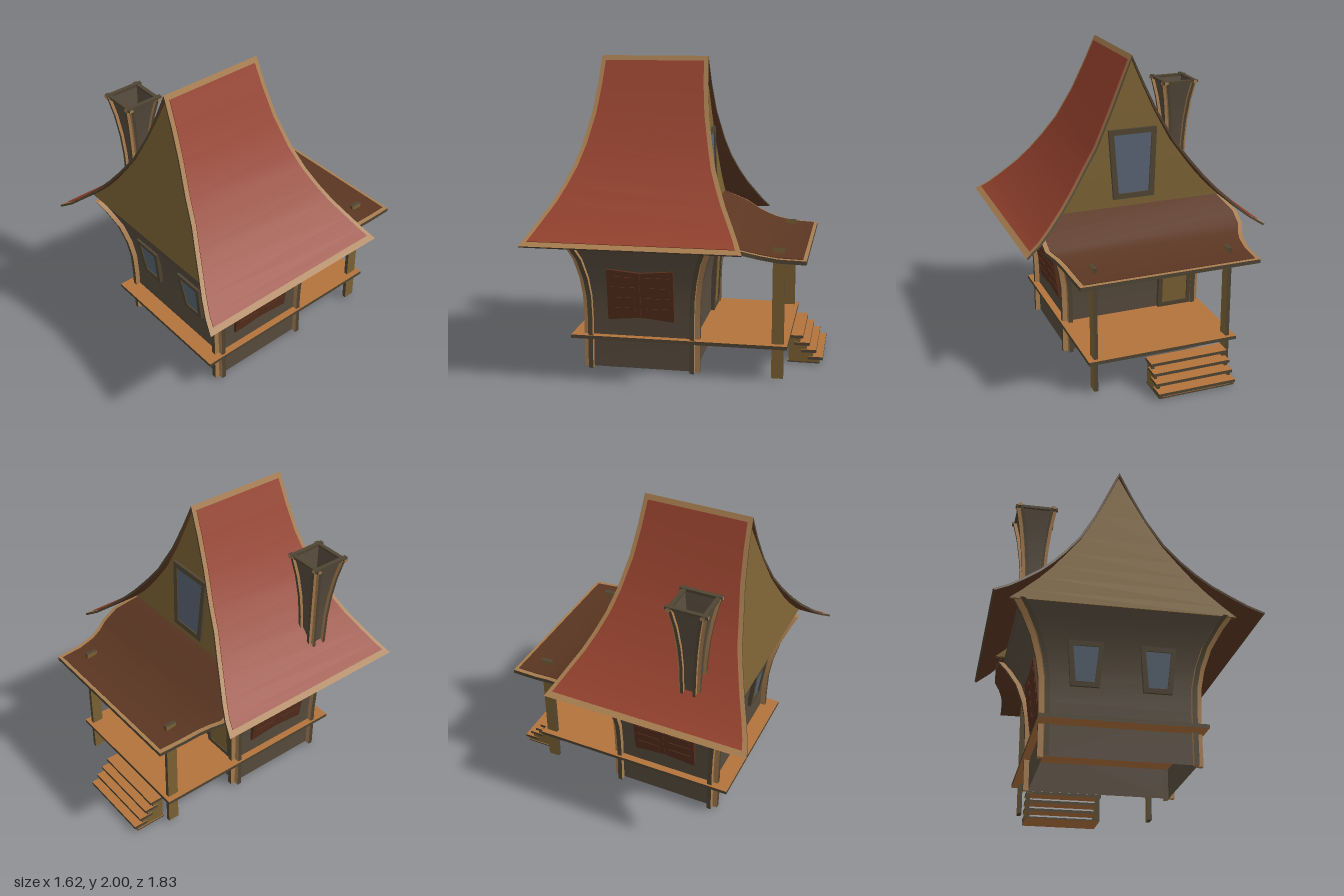
import * as THREE from 'three';

const mat = (name, color, side = THREE.FrontSide) =>
  Object.assign(new THREE.MeshStandardMaterial({ color, side }), { name });

export function createModel() {
  const wallM = mat('wall grey brown', 0x574b3d, THREE.DoubleSide);
  const trim = mat('dark timber', 0x504533);
  const tan = mat('cut timber tan', 0xa87d4f);
  const red = mat('roof red', 0x96422e);
  const brown = mat('porch roof brown', 0x5b3622);
  const olive = mat('ochre plaster', 0x7c6234);
  const orange = mat('deck orange', 0xb3733c);
  const glassM = mat('window blue grey', 0x576371);
  const shutterM = mat('shutter brown', 0x562e1c);

  const model = new THREE.Group();
  const house = new THREE.Group();
  house.name = 'house';
  house.position.z = 0.23;
  model.add(house);

  // Lofts four-cornered rings; mats: one per side, then one for the end caps (if any)
  function loft(parent, name, rings, mats) {
    const pos = [], idx = [], v = (p) => new THREE.Vector3(...p);
    const geo = new THREE.BufferGeometry();
    const [a, b, , d] = rings[0].map(v);
    const flip = b.sub(a).cross(d.sub(a)).dot(v(rings[1][0]).sub(a)) < 0;
    const tri = (i, j, k) => (flip ? idx.push(i, k, j) : idx.push(i, j, k));
    for (let s = 0; s < 4; s++) {
      const base = pos.length / 3, start = idx.length;
      rings.forEach((r) => pos.push(...r[s], ...r[(s + 1) % 4]));
      for (let i = 0; i < rings.length - 1; i++) {
        const k = base + i * 2;
        tri(k, k + 1, k + 3);
        tri(k, k + 3, k + 2);
      }
      geo.addGroup(start, idx.length - start, s);
    }
    if (mats[4]) {
      const start = idx.length;
      [rings[0], rings[rings.length - 1]].forEach((r, end) => {
        const k = pos.length / 3;
        r.forEach((p) => pos.push(...p));
        if (end) { tri(k, k + 1, k + 2); tri(k, k + 2, k + 3); }
        else { tri(k, k + 2, k + 1); tri(k, k + 3, k + 2); }
      });
      geo.addGroup(start, idx.length - start, 4);
    }
    geo.setAttribute('position', new THREE.Float32BufferAttribute(pos, 3));
    geo.setIndex(idx);
    geo.computeVertexNormals();
    const mesh = new THREE.Mesh(geo, mats);
    mesh.name = name;
    parent.add(mesh);
  }
  const all = (m) => [m, m, m, m, m];

  // Box given by its limits
  function box(parent, name, x0, x1, y0, y1, z0, z1, m) {
    const mesh = new THREE.Mesh(new THREE.BoxGeometry(x1 - x0, y1 - y0, z1 - z0), m);
    mesh.position.set((x0 + x1) / 2, (y0 + y1) / 2, (z0 + z1) / 2);
    mesh.name = name;
    parent.add(mesh);
  }

  // Flared shell with two boards on each corner; profile rows are [y, halfX, halfZ]
  function tower(parent, name, prof, w, t) {
    loft(parent, name + 'Walls', prof.map(([y, x, z]) => [[-x, y, z], [x, y, z], [x, y, -z], [-x, y, -z]]), [wallM, wallM, wallM, wallM]);
    const mats = [tan, trim, tan, trim, tan];
    for (const sx of [-1, 1]) for (const sz of [-1, 1]) {
      const ring = (pts, y) => pts.map(([x, z]) => [sx * x, y, sz * z]);
      loft(parent, name + 'CornerBoard', prof.map(([y, x, z]) =>
        ring([[x - w, z], [x - w, z + t], [x, z + t], [x, z]], y - 0.006)), mats);
      loft(parent, name + 'CornerBoard', prof.map(([y, x, z]) =>
        ring([[x, z - w], [x + t, z - w], [x + t, z], [x, z]], y - 0.006)), mats);
    }
  }

  // House walls
  tower(house, 'house', [[0.018, 0.456, 0.346], [0.35, 0.456, 0.346], [0.5, 0.461, 0.351], [0.62, 0.481, 0.366],
    [0.75, 0.521, 0.396], [0.87, 0.586, 0.446], [0.94, 0.636, 0.481]], 0.03, 0.033);

  // Main roof: rows are [x, y, half depth]
  const P = [[0, 2, 0.355], [0.08, 1.82, 0.365], [0.165, 1.635, 0.385], [0.27, 1.44, 0.425], [0.365, 1.31, 0.46],
    [0.45, 1.2, 0.505], [0.534, 1.106, 0.55], [0.64, 1.005, 0.61], [0.72, 0.937, 0.65], [0.81, 0.88, 0.685]];
  const tiles = [[0.015, 1.966, 0.356], ...P.slice(1, -1), [0.775, 0.902, 0.67]];
  for (const turn of [0, Math.PI]) {
    const half = new THREE.Group();
    half.name = 'roofHalf';
    half.rotation.y = turn;
    house.add(half);
    loft(half, 'roofBoards', P.map(([x, y, d]) => {
      const xb = Math.max(0, x - 0.01), yb = y - (x ? 0.01 : 0.025);
      return [[x, y, d], [x, y, -d], [xb, yb, -d], [xb, yb, d]];
    }), [tan, trim, brown, trim, trim]);
    loft(half, 'roofTiles', tiles.map(([x, y, d]) => {
      const e = d - 0.03, o = 0.004;
      return [[x + o, y + o, e], [x + o, y + o, -e], [x, y, -e], [x, y, e]];
    }), all(red));
  }

  // Flat, leaning gables that follow the roof curve
  for (const [name, s, top, spread] of [['frontGable', 1, 0.325, 0.162], ['backGable', -1, 0.335, 0.05]]) {
    loft(house, name, P.slice(0, -1).map(([x, y]) => {
      const w = Math.max(0.002, x - 0.006), z = top + (2 - y) / 1.06 * spread, yy = y - (x ? 0 : 0.015);
      return [[-w, yy, s * z], [w, yy, s * z], [w, yy, s * (z - 0.02)], [-w, yy, s * (z - 0.02)]];
    }), all(olive));
  }

  // Tapered frame with a thin filled panel
  function opening(name, x, y, z, tilt, turn, top, bottom, h, border, fill) {
    const g = new THREE.Group();
    g.name = name;
    const trapezoid = (C, b) => new C([[-bottom + b, -h + b], [bottom - b, -h + b], [top - b, h - b], [-top + b, h - b]]
      .map((p) => new THREE.Vector2(...p)));
    const shape = trapezoid(THREE.Shape, 0);
    shape.holes.push(trapezoid(THREE.Path, border));
    const frame = new THREE.Mesh(new THREE.ExtrudeGeometry(shape, { depth: 0.035, bevelEnabled: false }), trim);
    frame.name = name + 'Frame';
    frame.position.z = -0.015;
    const panel = new THREE.Mesh(new THREE.ShapeGeometry(trapezoid(THREE.Shape, border)), fill);
    panel.name = name + 'Panel';
    panel.position.z = 0.01;
    g.add(frame, panel);
    g.rotation.set(tilt, turn, 0, 'YXZ');
    g.position.set(x, y, z);
    house.add(g);
  }
  opening('frontWindow', -0.22, 0.595, 0.37, 0.13, 0, 0.109, 0.088, 0.14, 0.03, glassM);
  opening('frontWindow', 0.222, 0.588, 0.37, 0.13, 0, 0.109, 0.088, 0.144, 0.03, glassM);
  opening('gableWindow', 0, 1.3, -0.368, -0.047, Math.PI, 0.165, 0.14, 0.23, 0.035, glassM);
  opening('door', -0.31, 0.44, -0.36, 0.05, Math.PI, 0.12, 0.12, 0.205, 0.03, olive);

  // Slatted shutters on both sides
  for (const s of [-1, 1]) {
    const g = new THREE.Group();
    g.name = 'shutters';
    g.rotation.set(0.13, s * Math.PI / 2, 0, 'YXZ');
    g.position.set(s * 0.466, 0.515, 0);
    house.add(g);
    for (const m of [-1, 1]) {
      const leaf = new THREE.Shape([[0.001, -0.15], [0.215, -0.172], [0.215, 0.172], [0.001, 0.152]]
        .map(([u, v]) => new THREE.Vector2(m * u, v)));
      const mesh = new THREE.Mesh(new THREE.ExtrudeGeometry(leaf, { depth: 0.027, bevelEnabled: false }), shutterM);
      mesh.name = 'shutterLeaf';
      g.add(mesh);
      for (let i = 0; i < 4; i++) {
        const v = -0.1 + i * 0.07, x0 = m > 0 ? 0.035 : -0.19;
        box(g, 'shutterSlat', x0, x0 + 0.155, v - 0.016, v + 0.016, 0.02, 0.031, shutterM);
      }
    }
  }

  // Chimney with crossed bars round the mouth
  const chimney = new THREE.Group();
  chimney.name = 'chimney';
  chimney.position.set(-0.533, 0, 0.215);
  house.add(chimney);
  tower(chimney, 'chimney', [[1, 0.05, 0.05], [1.25, 0.055, 0.055], [1.4, 0.065, 0.065], [1.55, 0.083, 0.083],
    [1.685, 0.108, 0.108]], 0.02, 0.021);
  const barX = [tan, tan, trim, trim, trim, trim], barZ = [trim, trim, trim, trim, tan, tan];
  for (const s of [-0.108, 0.108]) {
    box(chimney, 'chimneyBar', -0.135, 0.135, 1.67, 1.688, s - 0.013, s + 0.013, barX);
    box(chimney, 'chimneyBar', s - 0.013, s + 0.013, 1.672, 1.692, -0.135, 0.135, barZ);
  }

  // Deck, running round the house and under the porch
  box(model, 'deck', -0.503, 0.503, 0.212, 0.235, -0.705, 0.688, [trim, trim, orange, orange, trim, trim]);

  // Porch roof: rows are [z, y, half width]
  const Q = [[-0.135, 1.02, 0.62], [-0.3, 0.94, 0.68], [-0.4, 0.88, 0.675], [-0.47, 0.855, 0.638],
    [-0.54, 0.835, 0.615], [-0.65, 0.815, 0.6], [-0.82, 0.808, 0.59]];
  const slab = (rows, inset, up, down) => rows.map(([z, y, w]) => {
    const x = w - inset;
    return [[-x, y + up, z], [x, y + up, z], [x, y - down, z], [-x, y - down, z]];
  });
  loft(model, 'porchRoofBoards', slab(Q, 0, 0, 0.025), [tan, trim, brown, trim, trim]);
  loft(model, 'porchRoofTiles', slab([...Q.slice(0, -1), [-0.797, 0.809, 0.592]], 0.03, 0.004, 0), all(brown));

  // Porch posts
  for (const s of [-1, 1]) {
    box(model, 'porchPost', s * 0.45 - 0.013, s * 0.45 + 0.013, 0.01, 0.85, -0.68, -0.605,
      [olive, olive, trim, trim, trim, trim]);
  }

  // Steps
  const steps = new THREE.Group();
  steps.name = 'steps';
  model.add(steps);
  const treadM = [trim, trim, orange, orange, trim, trim];
  for (let i = 0; i < 4; i++) {
    const y = 0.178 - i * 0.047, z = -0.78 - i * 0.0437;
    box(steps, 'tread', -0.4, 0.12, y - 0.01, y + 0.01, z, z + 0.1, treadM);
    for (const x of [-0.395, 0.09]) {
      box(steps, 'stringer', x, x + 0.02, Math.max(0.008, y - 0.057), y - 0.01, z + 0.02, -0.685,
        [olive, olive, trim, trim, trim, trim]);
    }
  }
  box(steps, 'stepBase', -0.4, 0.11, 0, 0.01, -0.89, -0.68, treadM);

  return model;
}
